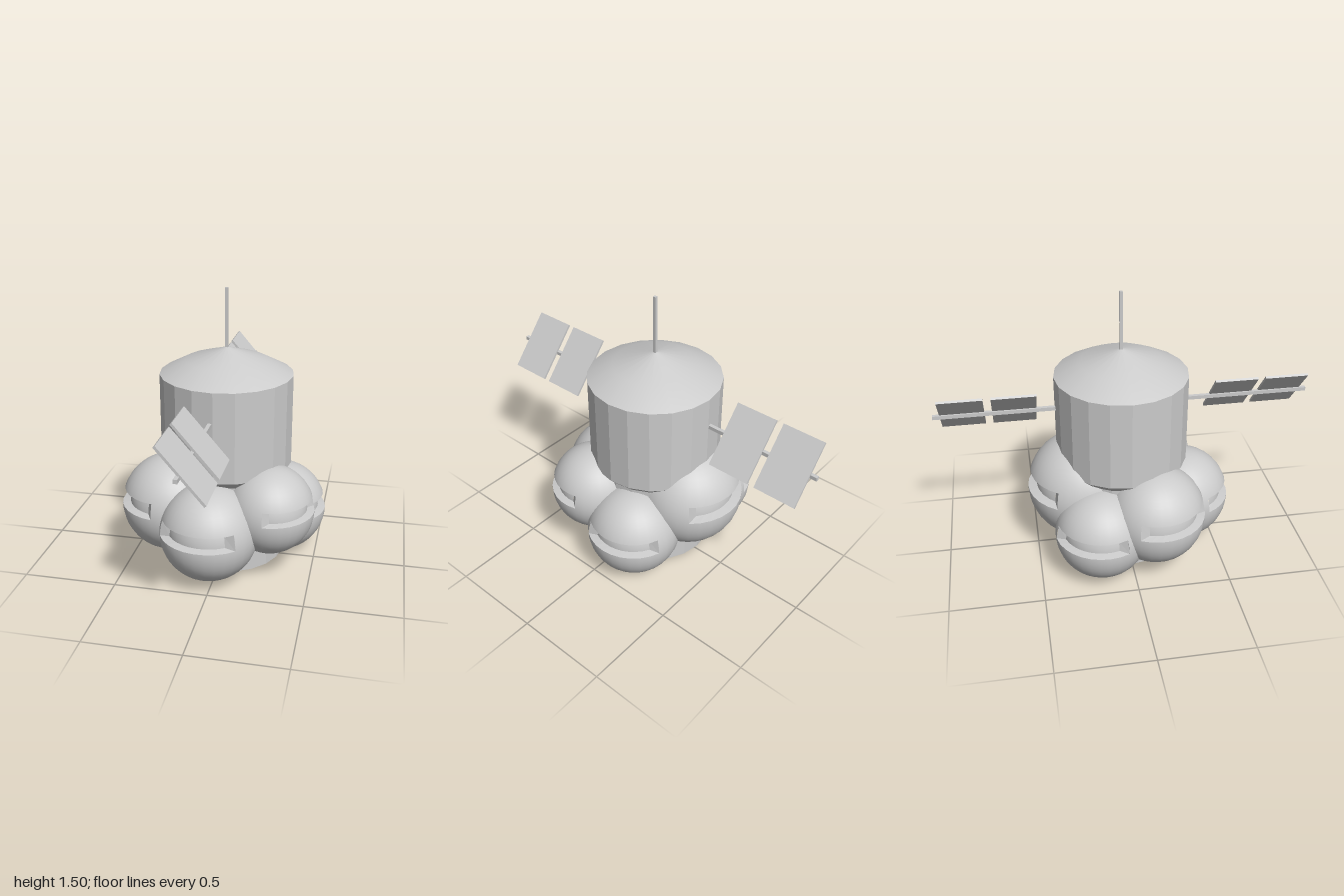
import * as THREE from 'three';

const grey = new THREE.MeshStandardMaterial({ color: 0xcccccc });
const greyFlat = new THREE.MeshStandardMaterial({ color: 0xcccccc, flatShading: true });
const RAD = Math.PI / 180;
const AXIS_Z = -0.015;

function add(parent, name, geometry, material, x = 0, y = 0, z = 0) {
  const mesh = new THREE.Mesh(geometry, material);
  mesh.name = name;
  mesh.position.set(x, y, z);
  parent.add(mesh);
  return mesh;
}

// Slot outline on a sphere, anticlockwise seen from +z
function slotOutline(r, half, lo, hi, steps) {
  const point = (angle, h) => {
    const c = Math.sqrt(1 - h * h) * r;
    return new THREE.Vector3(Math.sin(angle) * c, h * r, Math.cos(angle) * c);
  };
  const pts = [];
  for (let i = 0; i <= steps; i++) pts.push(point(half * (2 * i / steps - 1), lo));
  for (let i = steps; i >= 0; i--) pts.push(point(half * (2 * i / steps - 1), hi));
  return pts;
}

// Walls joining two matching closed outlines
function bridge(outer, inner) {
  const pos = [];
  outer.forEach((a, i) => {
    const j = (i + 1) % outer.length;
    for (const p of [a, outer[j], inner[j], a, inner[j], inner[i]]) pos.push(p.x, p.y, p.z);
  });
  const geo = new THREE.BufferGeometry();
  geo.setAttribute('position', new THREE.Float32BufferAttribute(pos, 3));
  geo.computeVertexNormals();
  return geo;
}

// Sphere with a recessed horizontal window slot facing +z
function slottedPod(r) {
  const pod = new THREE.Group();
  const half = 54 * RAD, lo = 0.02, hi = 0.34;
  const inR = r * 0.84, inHalf = 45 * RAD, inLo = 0.06, inHi = 0.33;
  const tHi = Math.acos(hi), tLo = Math.acos(lo), start = Math.PI / 2 - half;
  const full = Math.PI * 2;
  add(pod, 'podTop', new THREE.SphereGeometry(r, 30, 10, start, full, 0, tHi), grey);
  add(pod, 'podBottom', new THREE.SphereGeometry(r, 30, 12, start, full, tLo, Math.PI - tLo), grey);
  add(pod, 'podBand', new THREE.SphereGeometry(r, 21, 3, Math.PI / 2 + half, full - 2 * half, tHi, tLo - tHi), grey);
  const iHi = Math.acos(inHi), iLo = Math.acos(inLo);
  add(pod, 'slotFloor', new THREE.SphereGeometry(inR, 9, 2, Math.PI / 2 - inHalf, 2 * inHalf, iHi, iLo - iHi), grey);
  add(pod, 'slotWalls', bridge(slotOutline(r, half, lo, hi, 9), slotOutline(inR, inHalf, inLo, inHi, 9)), greyFlat);
  return pod;
}

export function createModel() {
  const model = new THREE.Group();
  model.name = 'spaceStation';

  // Central hull
  const hull = new THREE.Group();
  hull.name = 'hull';
  hull.position.z = AXIS_Z;
  model.add(hull);
  add(hull, 'upperHull', new THREE.CylinderGeometry(0.355, 0.355, 0.49, 20, 1, true), greyFlat, 0, 0.815, 0);
  add(hull, 'hullTaper', new THREE.CylinderGeometry(0.355, 0.318, 0.04, 20, 1, true), greyFlat, 0, 0.55, 0);
  add(hull, 'lowerHull', new THREE.CylinderGeometry(0.318, 0.318, 0.495, 20), greyFlat, 0, 0.2825, 0);
  const roof = [[0.355, 1.06], [0.22, 1.13], [0, 1.2]].map(([x, y]) => new THREE.Vector2(x, y));
  add(hull, 'roof', new THREE.LatheGeometry(roof, 20), grey);
  add(hull, 'antenna', new THREE.BoxGeometry(0.016, 0.33, 0.016), grey, 0, 1.345, 0);

  // Pods around the hull: x, y, z, radius, slot heading offset in degrees
  const pods = [
    [-0.025, 0.29, 0.322, 0.262, -7],
    [-0.28, 0.348, 0.125, 0.267, 0],
    [0.272, 0.387, 0.19, 0.238, 0],
    [0.29, 0.262, -0.115, 0.253, 0],
    [-0.015, 0.408, -0.24, 0.297, 0],
    [-0.285, 0.266, -0.165, 0.252, 0],
  ];
  for (const [x, y, z, r, turn] of pods) {
    const pod = slottedPod(r);
    pod.name = 'pod';
    pod.position.set(x, y, z);
    pod.rotation.y = Math.atan2(x, z - AXIS_Z) + turn * RAD;
    model.add(pod);
  }

  // Solar wings fore and aft
  for (const side of [1, -1]) {
    const wing = new THREE.Group();
    wing.name = side > 0 ? 'frontWing' : 'backWing';
    model.add(wing);
    add(wing, 'arm', new THREE.BoxGeometry(0.02, 0.02, 0.7), grey, -0.015, 0.89, side * 0.65);
    for (const z of [0.58, 0.85]) {
      const panel = add(wing, 'solarPanel', new THREE.BoxGeometry(0.342, 0.013, 0.23), grey, -0.004, 0.897, side * z);
      panel.rotation.z = -49.5 * RAD;
    }
  }
  return model;
}
